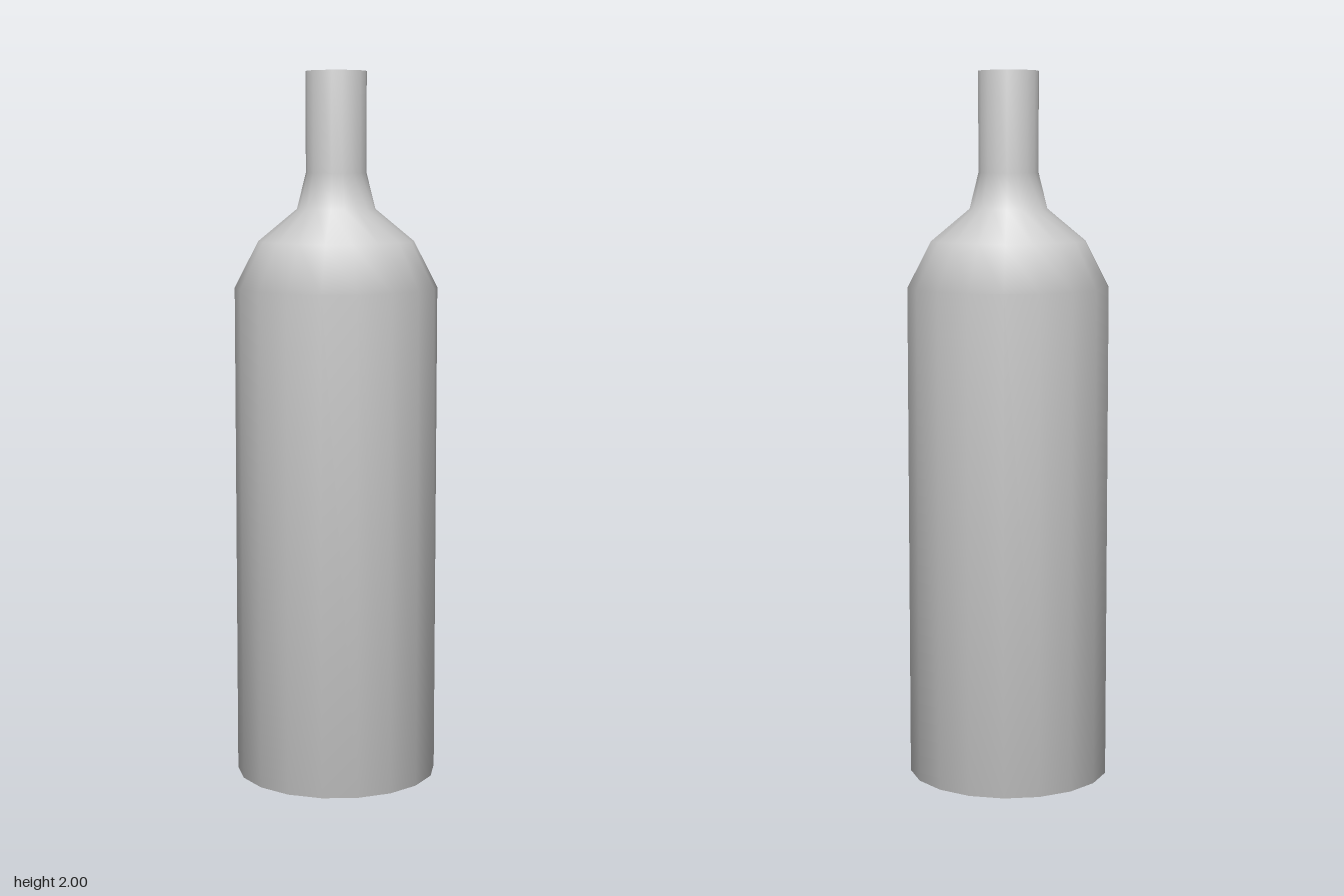
import * as THREE from 'three';

const SIDES = 18;

export function createModel() {
  const group = new THREE.Group();
  group.name = 'bottle';
  const material = new THREE.MeshStandardMaterial({ color: 0xcccccc });

  // One smooth turned profile: base, wall, shoulder, neck, rim, bore
  const profile = [
    [0, 0],
    [0.286, 0],       // base edge
    [0.286, 1.4],     // straight wall
    [0.219, 1.53],    // shoulder
    [0.11, 1.62],
    [0.085, 1.72],    // neck
    [0.085, 2],       // rim, outer edge
    [0.045, 2],       // rim, inner edge
    [0.045, 1.75],    // bore
    [0, 1.75],
  ].map(([r, y]) => new THREE.Vector2(r, y));

  const body = new THREE.Mesh(new THREE.LatheGeometry(profile, SIDES), material);
  body.name = 'bottleBody';
  group.add(body);
  return group;
}
